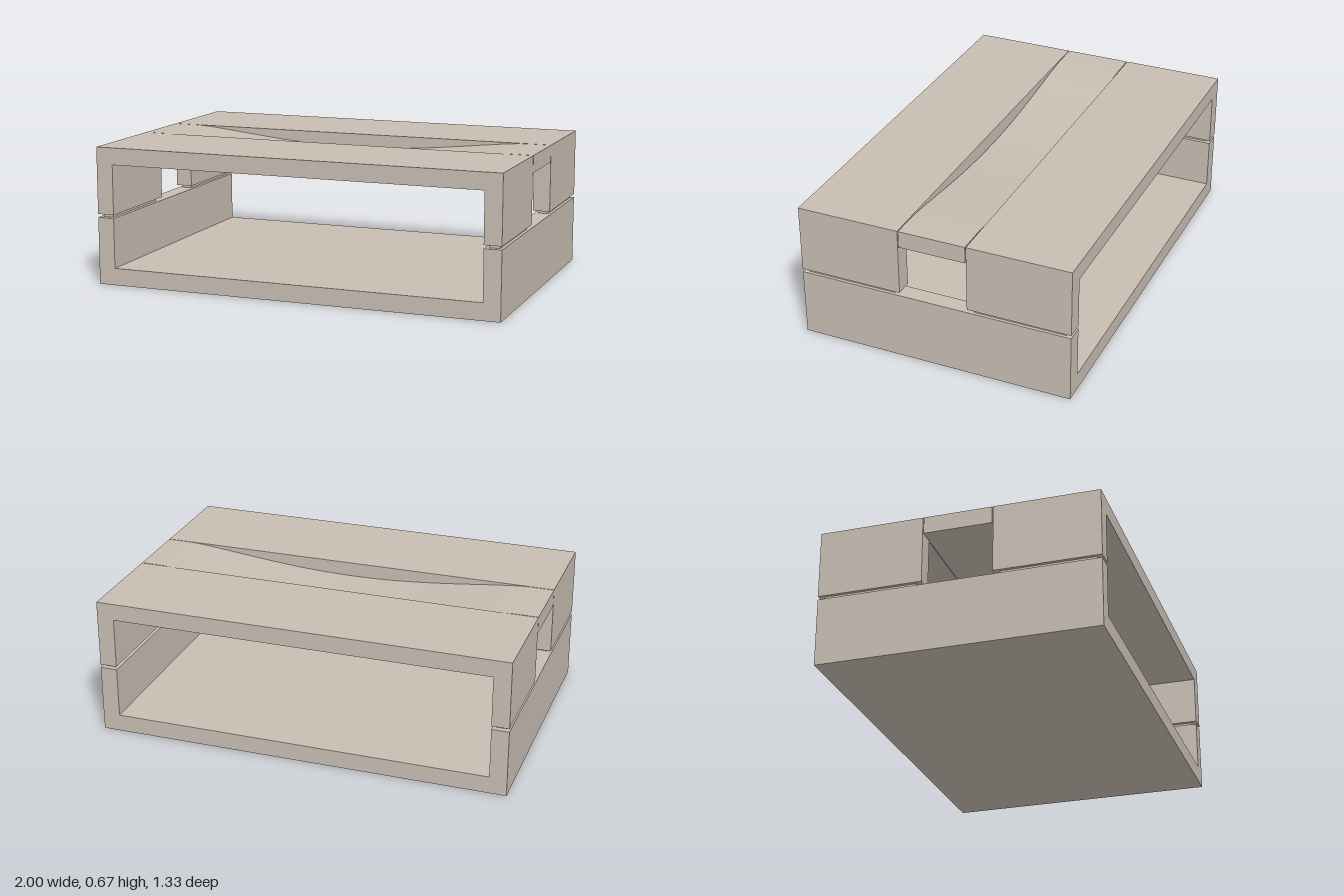
import * as THREE from 'three';

const stone = new THREE.MeshStandardMaterial({ color: 0xc8bdb2 });
stone.name = 'warm stone';

// Extrude an x/y outline along z, centred on the given z
function extrudeZ(name, points, depth, z) {
  const shape = new THREE.Shape(points.map(([x, y]) => new THREE.Vector2(x, y)));
  const geometry = new THREE.ExtrudeGeometry(shape, { depth, bevelEnabled: false });
  geometry.translate(0, 0, z - depth / 2);
  const mesh = new THREE.Mesh(geometry, stone);
  mesh.name = name;
  return mesh;
}

// Box given by its minimum and maximum corners
function box(name, [x0, y0, z0], [x1, y1, z1]) {
  const mesh = new THREE.Mesh(new THREE.BoxGeometry(x1 - x0, y1 - y0, z1 - z0), stone);
  mesh.name = name;
  mesh.position.set((x0 + x1) / 2, (y0 + y1) / 2, (z0 + z1) / 2);
  return mesh;
}

export function createModel() {
  const model = new THREE.Group();
  model.name = 'openBox';

  const half = 1, inner = 0.917, depth = 1.333;
  const floor = 0.083, joint = 0.327, lidBase = 0.343, ceiling = 0.586, top = 0.668;

  // Lower tray, open at the front and back
  model.add(extrudeZ('lowerTray', [
    [-half, 0], [half, 0], [half, joint], [inner, joint],
    [inner, floor], [-inner, floor], [-inner, joint], [-half, joint],
  ], depth, 0));

  // Two inverted trays, front and back
  const lid = [
    [-half, lidBase], [-inner, lidBase], [-inner, ceiling], [inner, ceiling],
    [inner, lidBase], [half, lidBase], [half, top], [-half, top],
  ];
  model.add(extrudeZ('frontLid', lid, 0.5, 0.417));
  model.add(extrudeZ('backLid', lid, 0.5, -0.417));

  // Centre bridge with a shallow dip in its upper face
  const bridge = [[-half, ceiling], [half, ceiling], [half, top]];
  const steps = 40, reach = 0.88, dip = 0.066;
  for (let i = 0; i <= steps; i++) {
    const t = 1 - (2 * i) / steps;
    bridge.push([t * reach, top - dip * Math.pow(Math.max(0, 1 - t * t), 1.5)]);
  }
  bridge.push([-half, top]);
  model.add(extrudeZ('centreBridge', bridge, 0.326, 0));

  for (const sx of [-1, 1]) {
    for (const sz of [-1, 1]) {
      // Inset spacer between tray and lid
      const xs = [sx * 0.935, sx * 0.985].sort((a, b) => a - b);
      const zs = [sz * 0.197, sz * 0.64].sort((a, b) => a - b);
      model.add(box('jointSpacer', [xs[0], joint, zs[0]], [xs[1], lidBase, zs[1]]));

      // Small tab joining the bridge to a lid
      const tx = [sx * 0.8, sx * 0.92].sort((a, b) => a - b);
      const tz = [sz * 0.162, sz * 0.168].sort((a, b) => a - b);
      model.add(box('bridgeTab', [tx[0], 0.6, tz[0]], [tx[1], 0.653, tz[1]]));
    }
  }
  return model;
}
